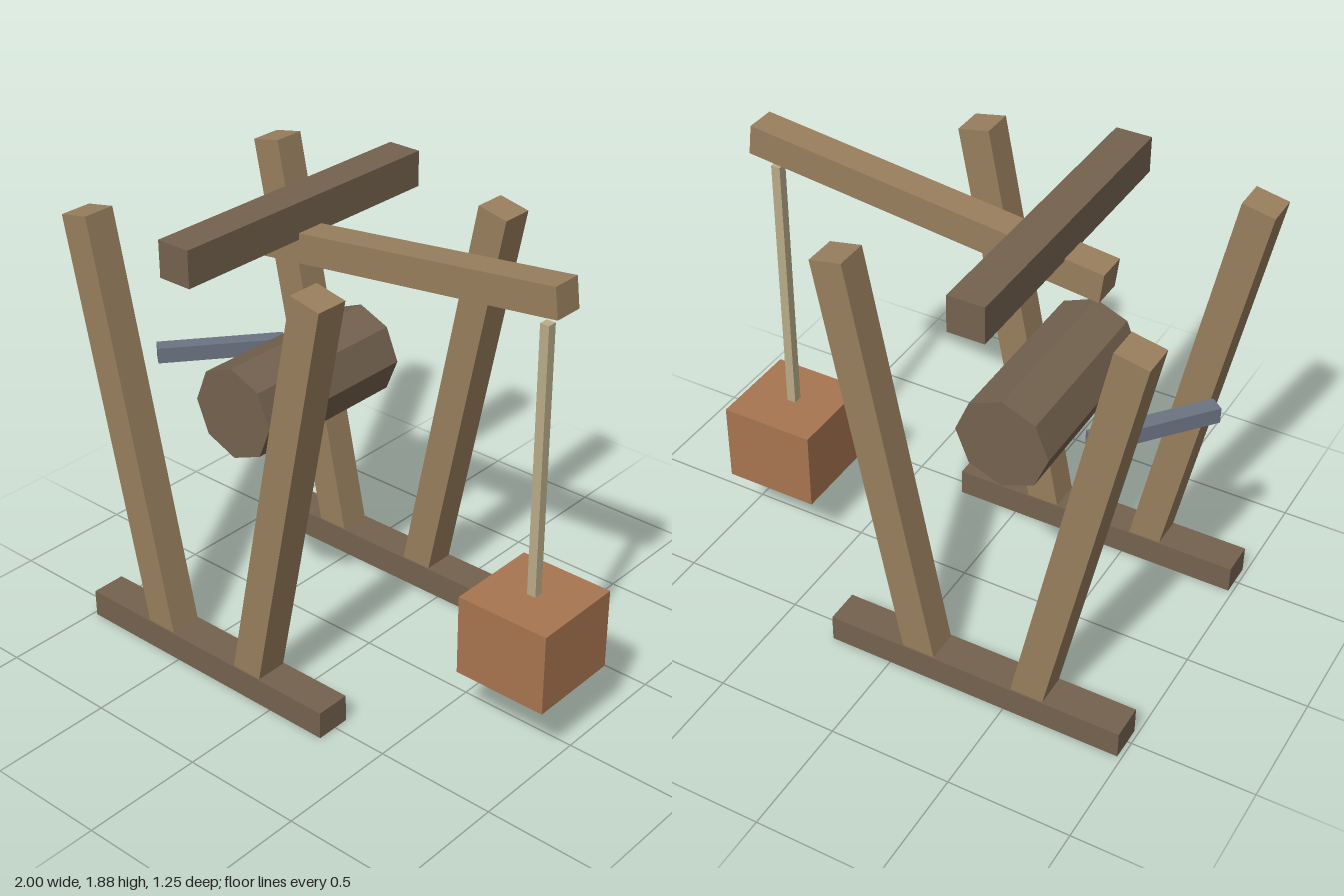
import * as THREE from 'three';

const material = (name, color) => {
  const m = new THREE.MeshStandardMaterial({ color });
  m.name = name;
  return m;
};

export function createModel() {
  const group = new THREE.Group();
  const lightWood = material('light wood', 0x997f5e);
  const darkWood = material('dark wood', 0x74624f);
  const clay = material('clay', 0xa87550);
  const rope = material('rope', 0xb9ad88);
  const metal = material('metal', 0x6c7482);

  const add = (name, geometry, mat, x, y, z) => {
    const mesh = new THREE.Mesh(geometry, mat);
    mesh.name = name;
    mesh.position.set(x, y, z);
    group.add(mesh);
    return mesh;
  };
  const box = (name, w, h, d, mat, x, y, z) =>
    add(name, new THREE.BoxGeometry(w, h, d), mat, x, y, z);

  const axisX = -0.36; // centre line of the frame
  const legLength = 1.75, legTilt = 0.2;

  // Two side frames: a ground runner with a pair of splayed legs
  for (const z of [-0.511, 0.511]) {
    box('runner', 1.245, 0.115, 0.146, darkWood, axisX, 0.0575, z);
    for (const side of [-1, 1]) {
      const x = axisX + side * (0.575 - Math.sin(legTilt) * legLength / 2);
      const y = 1.793 - Math.cos(legTilt) * legLength / 2;
      box('leg', 0.133, legLength, 0.134, lightWood, x, y, z).rotation.z = -side * legTilt;
    }
  }

  // Cross beam and the tilted lever arm beneath it
  box('crossBeam', 0.145, 0.146, 1.25, darkWood, axisX, 1.784, 0);
  box('leverArm', 1.465, 0.12, 0.123, lightWood, 0.148, 1.729, 0).rotation.z = 0.12;

  // Eight-sided winding drum lying along z
  const drum = new THREE.CylinderGeometry(0.19, 0.19, 0.732, 8).toNonIndexed();
  drum.rotateX(Math.PI / 2);
  drum.computeVertexNormals();
  add('drum', drum, darkWood, axisX, 1.08, 0);

  // Crank bar
  box('crankBar', 0.508, 0.065, 0.065, metal, -0.785, 1.078, 0).rotation.y = 0.89;

  // Hanging counterweight
  box('rope', 0.038, 1.12, 0.038, rope, 0.8, 1.14, 0);
  box('counterweight', 0.395, 0.338, 0.395, clay, 0.802, 0.428, 0);

  return group;
}
